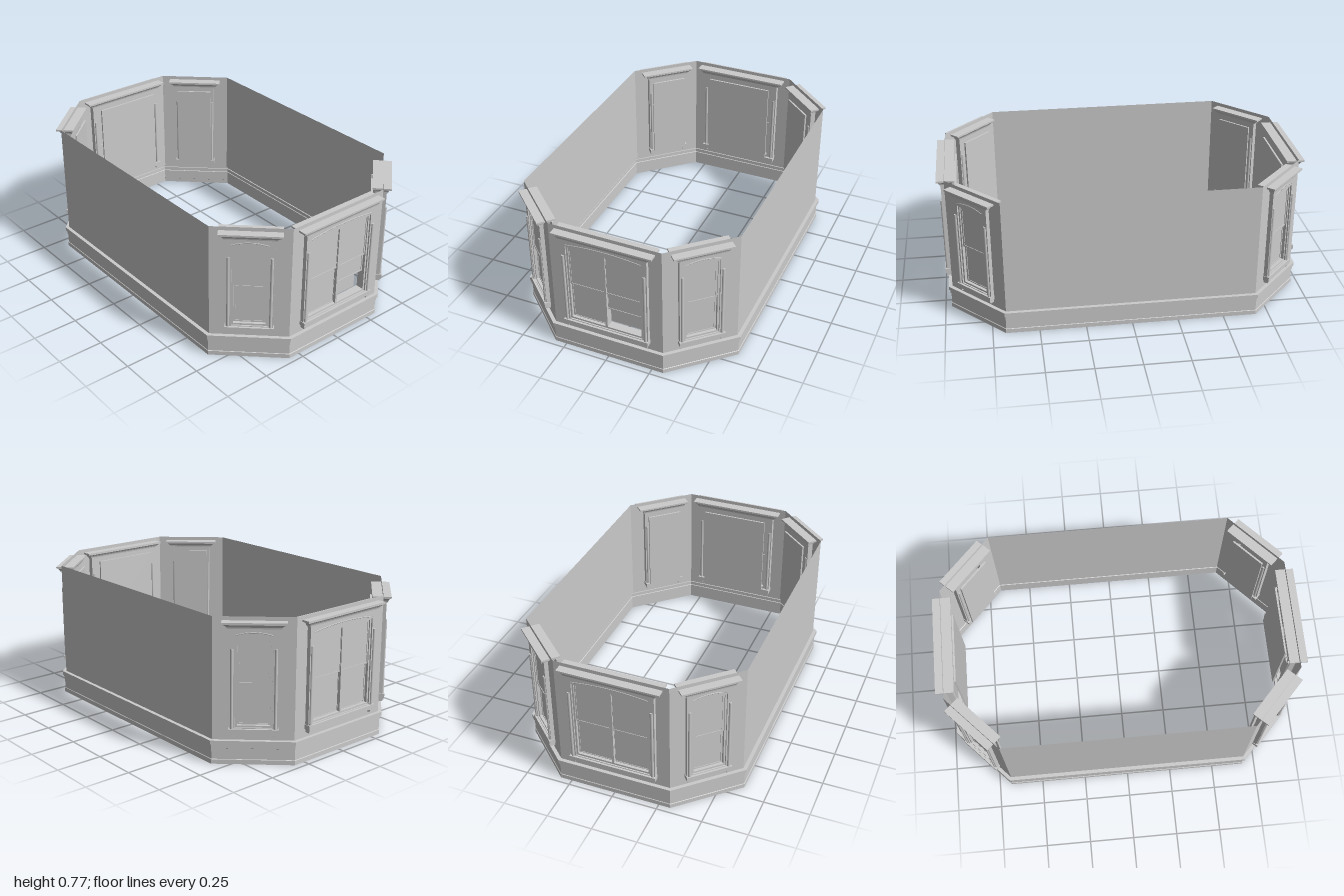
import * as THREE from 'three';

const grey = new THREE.MeshStandardMaterial({ color: 0xcccccc });
const thin = new THREE.MeshStandardMaterial({ color: 0xcccccc, side: THREE.DoubleSide });

const TOP = 0.768, BASE = 0.128;      // wall top and plinth top
const SILL = 0.2, HEAD = 0.67;        // window opening

// Octagonal plan, anticlockwise seen from above
const plan = [
  [-0.31, 0.955], [0.31, 0.955], [0.61, 0.675], [0.61, -0.675],
  [0.31, -0.955], [-0.31, -0.955], [-0.61, -0.675], [-0.61, 0.675],
].map(([x, z]) => new THREE.Vector2(x, z));

function add(parent, name, geometry, material = grey) {
  const mesh = new THREE.Mesh(geometry, material);
  mesh.name = name;
  parent.add(mesh);
  return mesh;
}

// Box given by its limits
function block(parent, name, x0, x1, y0, y1, z0, z1) {
  const mesh = add(parent, name, new THREE.BoxGeometry(x1 - x0, y1 - y0, z1 - z0));
  mesh.position.set((x0 + x1) / 2, (y0 + y1) / 2, (z0 + z1) / 2);
  return mesh;
}

// Flat-faced skin through rings ordered bottom to top
function loft(rings, capped) {
  const pos = [];
  const tri = (...pts) => pts.forEach((p) => pos.push(p.x, p.y, p.z));
  const n = rings[0].length;
  for (let k = 0; k < rings.length - 1; k++) {
    for (let i = 0; i < n; i++) {
      const j = (i + 1) % n;
      const [lo, hi] = [rings[k], rings[k + 1]];
      tri(lo[i], lo[j], hi[j]);
      tri(lo[i], hi[j], hi[i]);
    }
  }
  if (capped) {
    const lo = rings[0], hi = rings[rings.length - 1];
    for (let i = 1; i < n - 1; i++) {
      tri(hi[0], hi[i], hi[i + 1]);
      tri(lo[0], lo[i + 1], lo[i]);
    }
  }
  const g = new THREE.BufferGeometry();
  g.setAttribute('position', new THREE.Float32BufferAttribute(pos, 3));
  g.computeVertexNormals();
  return g;
}

// Plan outline moved outwards by d, with mitred corners
function planRing(d, y) {
  const normal = (a, b) => new THREE.Vector2(-(b.y - a.y), b.x - a.x).normalize().negate();
  return plan.map((p, i) => {
    const n1 = normal(plan[(i + 7) % 8], p), n2 = normal(p, plan[(i + 1) % 8]);
    const m = n1.clone().add(n2).multiplyScalar(d / (1 + n1.dot(n2)));
    if (m.dot(p) < 0) m.negate();
    return new THREE.Vector3(p.x + m.x, y, p.y + m.y);
  });
}

function rectShape(Type, x0, x1, y0, y1) {
  return new Type([[x0, y0], [x1, y0], [x1, y1], [x0, y1]].map(([x, y]) => new THREE.Vector2(x, y)));
}

// Rectangular frame with a border of width t
function frame(parent, name, x0, x1, y0, y1, t, z0, z1) {
  const s = rectShape(THREE.Shape, x0, x1, y0, y1);
  s.holes.push(rectShape(THREE.Path, x0 + t, x1 - t, y0 + t, y1 - t));
  const mesh = add(parent, name, new THREE.ExtrudeGeometry(s, { depth: z1 - z0, bevelEnabled: false }));
  mesh.position.z = z0;
}

function sash(parent, name, x0, x1, y0, y1, t, z) {
  const g = new THREE.Group();
  g.name = name;
  frame(g, 'sashFrame', x0, x1, y0, y1, t, z - 0.004, z + 0.004);
  block(g, 'pane', x0 + t, x1 - t, y0 + t, y1 - t, z - 0.001, z + 0.001);
  parent.add(g);
}

// Window in local space: wall plane at z = 0, outside towards +z
function makeWindow(hw, leaves, stile, panelHalf, raised) {
  const w = new THREE.Group();
  w.name = 'window';
  const open = hw - 0.03;

  // Casing through the wall
  const s = rectShape(THREE.Shape, -hw, hw, 0.19, 0.708);
  s.holes.push(rectShape(THREE.Path, -open, open, SILL, HEAD));
  const casing = add(w, 'casing', new THREE.ExtrudeGeometry(s, { depth: 0.052, bevelEnabled: false }));
  casing.position.z = -0.03;
  frame(w, 'innerFrame', -open, open, SILL, HEAD, 0.01, -0.03, 0.014);

  // Cornice: [height, overhang]
  const cornice = [[0.704, 0.003], [0.714, 0.003], [0.714, 0.01], [0.721, 0.012],
    [0.729, 0.019], [0.735, 0.029], [0.738, 0.029], [0.738, 0.037], [0.748, 0.037]];
  add(w, 'cornice', loft(cornice.map(([y, e]) => {
    const x = hw + e, f = 0.023 + e * 0.59, b = -0.033 - e * 0.59;
    return [[-x, f], [x, f], [x, b], [-x, b]].map(([px, pz]) => new THREE.Vector3(px, y, pz));
  }), true));

  // Shallow arch moulding on the frieze
  const arch = new THREE.QuadraticBezierCurve3(
    new THREE.Vector3(-open, 0.679, 0.022), new THREE.Vector3(0, 0.709, 0.022), new THREE.Vector3(open, 0.679, 0.022));
  add(w, 'archMoulding', new THREE.TubeGeometry(arch, 16, 0.003, 6));

  // Sill, apron, brackets and side columns
  block(w, 'sill', -hw - 0.003, hw + 0.003, 0.172, 0.196, -0.045, 0.034);
  block(w, 'apron', -open, open, 0.163, 0.173, -0.032, 0.014);
  for (const side of [-1, 1]) {
    const x = side * (hw - 0.014);
    block(w, 'sillBracket', x - 0.012, x + 0.012, 0.163, 0.173, -0.038, 0.03);
    block(w, 'sillBracketFoot', x - 0.009, x + 0.009, 0.153, 0.163, -0.034, 0.025);
    for (const z of [0.022, -0.03]) {
      const column = add(w, 'sideColumn', new THREE.CylinderGeometry(0.008, 0.008, 0.415, 10));
      column.position.set(x, 0.4035, z);
    }
  }

  // Pairs of sliding sashes
  const inner = open - 0.01, width = (2 * inner) / leaves;
  for (let i = 0; i < leaves; i++) {
    const x0 = -inner + i * width, x1 = x0 + width;
    const lift = raised && i === leaves - 1 ? 0.112 : 0;
    sash(w, 'upperSash', x0, x1, 0.425, 0.66, stile, 0.004);
    sash(w, 'lowerSash', x0, x1, 0.207 + lift, 0.436 + lift, stile, -0.006);
    if (i > 0) block(w, 'mullion', x0 - 0.006, x0 + 0.006, SILL, HEAD, -0.03, 0.014);
  }

  // Plain panel closing the inside
  block(w, 'innerPanel', -panelHalf, panelHalf, 0.197, 0.69, -0.06, -0.05);
  return w;
}

export function createModel() {
  const model = new THREE.Group();
  model.name = 'bayWindowStorey';

  // Plinth: [offset, height]
  const plinth = [[0.012, 0], [0.012, 0.024], [0.009, 0.026], [0.009, 0.084],
    [0.013, 0.086], [0.013, 0.107], [0.02, 0.107], [0.02, BASE], [0, BASE]];
  add(model, 'plinth', loft(plinth.map(([d, y]) => planRing(d, y)), false), thin);

  // Walls, with windows on the ends and the four angled sides
  plan.forEach((a, i) => {
    const b = plan[(i + 1) % 8];
    const half = a.distanceTo(b) / 2;
    const bay = new THREE.Group();
    bay.name = 'wallBay';
    bay.position.set((a.x + b.x) / 2, 0, (a.y + b.y) / 2);
    bay.rotation.y = Math.atan2(-(b.y - a.y), b.x - a.x);

    const wall = rectShape(THREE.Shape, -half, half, BASE, TOP);
    const isEnd = i === 0 || i === 4, isSide = i === 2 || i === 6;
    if (!isSide) {
      const hw = isEnd ? 0.238 : 0.122;
      wall.holes.push(rectShape(THREE.Path, 0.03 - hw, hw - 0.03, SILL, HEAD));
      bay.add(isEnd ? makeWindow(hw, 2, 0.007, 0.195, i === 0) : makeWindow(hw, 1, 0.01, 0.105, false));
    }
    add(bay, 'wall', new THREE.ShapeGeometry(wall), thin);
    model.add(bay);
  });
  return model;
}
